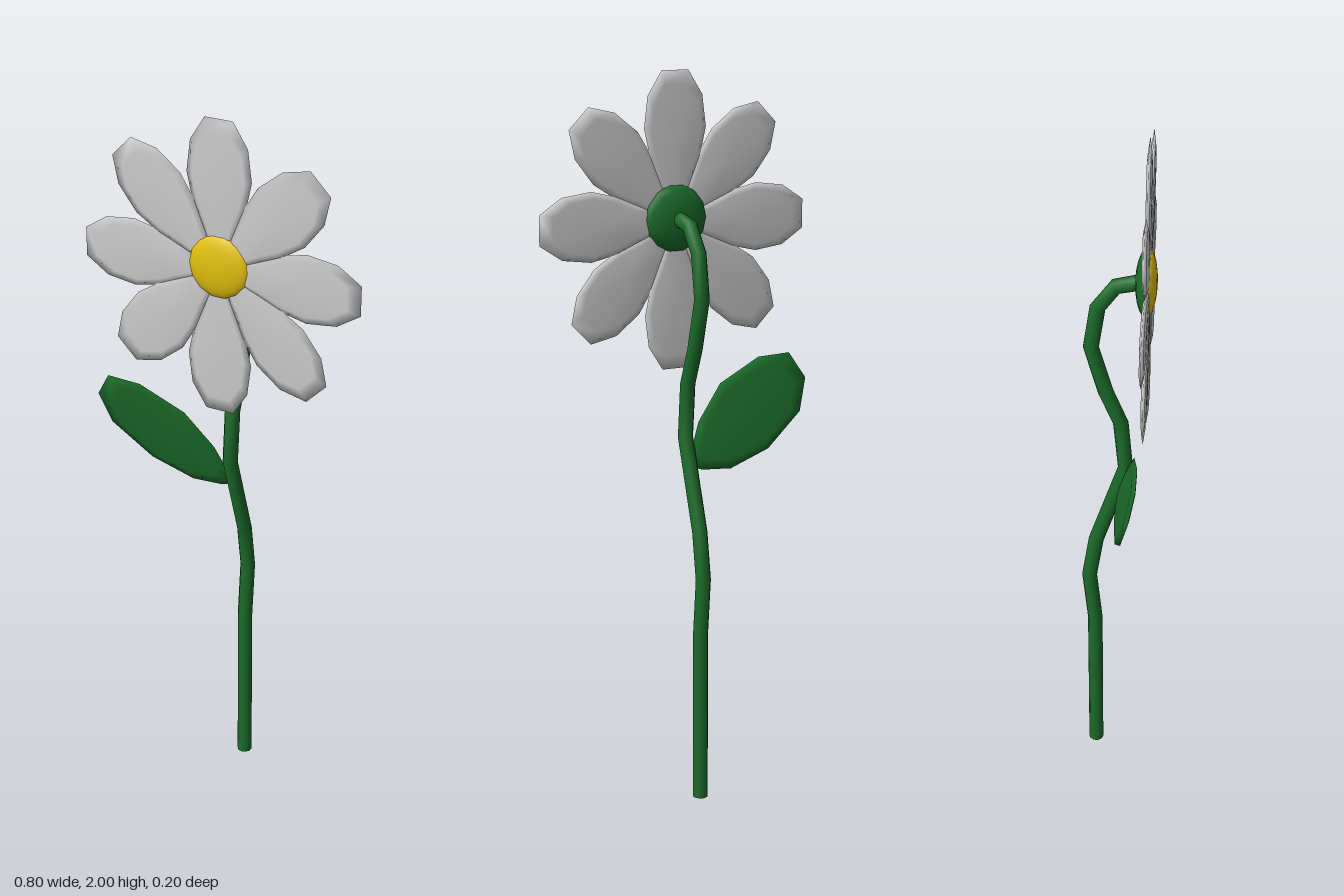
import * as THREE from 'three';

const petalMat = new THREE.MeshStandardMaterial({ color: 0xcccccc });
const greenMat = new THREE.MeshStandardMaterial({ color: 0x1b6b2a });
const yellowMat = new THREE.MeshStandardMaterial({ color: 0xe3c20f });

const FLOWER_Y = 1.6;

function add(parent, name, geometry, material) {
  const mesh = new THREE.Mesh(geometry, material);
  mesh.name = name;
  parent.add(mesh);
  return mesh;
}

// Thin closed blade: a sharp rim, an inset ring and a centre point on each face.
// The outline runs counter-clockwise seen from +z.
function blade(outline, thickness, inset = 0.8) {
  const n = outline.length;
  const cx = outline.reduce((s, p) => s + p[0], 0) / n;
  const cy = outline.reduce((s, p) => s + p[1], 0) / n;
  const pos = [];
  const index = [];
  const ring = (scale, z) => {
    for (const [x, y] of outline) pos.push(cx + (x - cx) * scale, cy + (y - cy) * scale, z);
  };
  ring(1, 0);
  ring(inset, thickness * 0.45);
  ring(inset, -thickness * 0.45);
  pos.push(cx, cy, thickness / 2, cx, cy, -thickness / 2);
  for (let i = 0; i < n; i++) {
    const j = (i + 1) % n;
    index.push(i, j, n + j, i, n + j, n + i, n + i, n + j, 3 * n);
    index.push(j, i, 2 * n + i, j, 2 * n + i, 2 * n + j, 2 * n + j, 2 * n + i, 3 * n + 1);
  }
  const g = new THREE.BufferGeometry();
  g.setAttribute('position', new THREE.Float32BufferAttribute(pos, 3));
  g.setIndex(index);
  g.computeVertexNormals();
  return g;
}

// Straight runs between the bends, one tube ring at each bend
class BentPath extends THREE.Curve {
  constructor(points) {
    super();
    this.points = points;
  }
  getPoint(t, target = new THREE.Vector3()) {
    const f = t * (this.points.length - 1);
    const i = Math.min(Math.floor(f), this.points.length - 2);
    return target.lerpVectors(this.points[i], this.points[i + 1], f - i);
  }
  getPointAt(u, target) { return this.getPoint(u, target); }
  getTangentAt(u, target) { return this.getTangent(u, target); }
}

// Flattened half ellipsoid whose pole points along z
function dome(radius, depth, sides) {
  const g = new THREE.SphereGeometry(1, sides, 5, 0, Math.PI * 2, 0, Math.PI / 2);
  g.scale(radius, depth, radius);
  g.rotateX(Math.PI / 2);
  return g;
}

export function createModel() {
  const flower = new THREE.Group();
  flower.name = 'flower';

  // Stem, bending only in the yz plane
  const bends = [
    [0, -0.065], [0.48, -0.065], [0.64, -0.08], [0.77, -0.06], [1.02, 0.021], [1.17, 0.008],
    [1.27, -0.032], [1.41, -0.07], [1.53, -0.052], [1.595, -0.005], [1.61, 0.06],
  ].map(([y, z]) => new THREE.Vector3(0, y, z));
  add(flower, 'stem', new THREE.TubeGeometry(new BentPath(bends), bends.length - 1, 0.021, 10), greenMat);
  const base = add(flower, 'stemBase', new THREE.CircleGeometry(0.021, 10), greenMat);
  base.rotation.x = Math.PI / 2;
  base.position.set(0, 0, -0.065);

  // Petals around the centre
  const half = [[0.03, 0.022], [0.1, 0.046], [0.17, 0.075], [0.25, 0.093], [0.335, 0.082], [0.4, 0.04]];
  const outline = [
    ...half.map(([r, w]) => [w, r]),
    ...half.slice().reverse().map(([r, w]) => [-w, r]),
  ];
  const petalGeometry = blade(outline, 0.012);
  const petals = new THREE.Group();
  petals.name = 'petals';
  petals.position.set(0, FLOWER_Y, 0.077);
  for (let i = 0; i < 8; i++) {
    const petal = add(petals, 'petal', petalGeometry, petalMat);
    petal.rotation.z = (i * Math.PI) / 4;
    petal.position.z = (i % 2) * 0.001;
  }
  flower.add(petals);

  // Yellow centre in front, green cup behind
  const centre = add(flower, 'flowerCentre', dome(0.088, 0.025, 14), yellowMat);
  centre.position.set(0, FLOWER_Y + 0.01, 0.076);
  const cup = add(flower, 'greenCup', dome(0.092, 0.032, 14), greenMat);
  cup.rotation.y = Math.PI;
  cup.position.set(0, FLOWER_Y + 0.01, 0.076);

  // Leaf, its upper edge leaning forward
  const leafOutline = [
    [-0.005, 0.94], [-0.01, 0.975], [-0.045, 1.055], [-0.125, 1.15], [-0.255, 1.21], [-0.355, 1.213],
    [-0.4, 1.14], [-0.37, 1.05], [-0.255, 0.96], [-0.13, 0.92], [-0.04, 0.927],
  ];
  const leafGeometry = blade(leafOutline, 0.014);
  const p = leafGeometry.attributes.position;
  for (let i = 0; i < p.count; i++) p.setZ(i, p.getZ(i) + 0.007 + 0.23 * (p.getY(i) - 0.96));
  leafGeometry.computeVertexNormals();
  add(flower, 'leaf', leafGeometry, greenMat);

  return flower;
}
